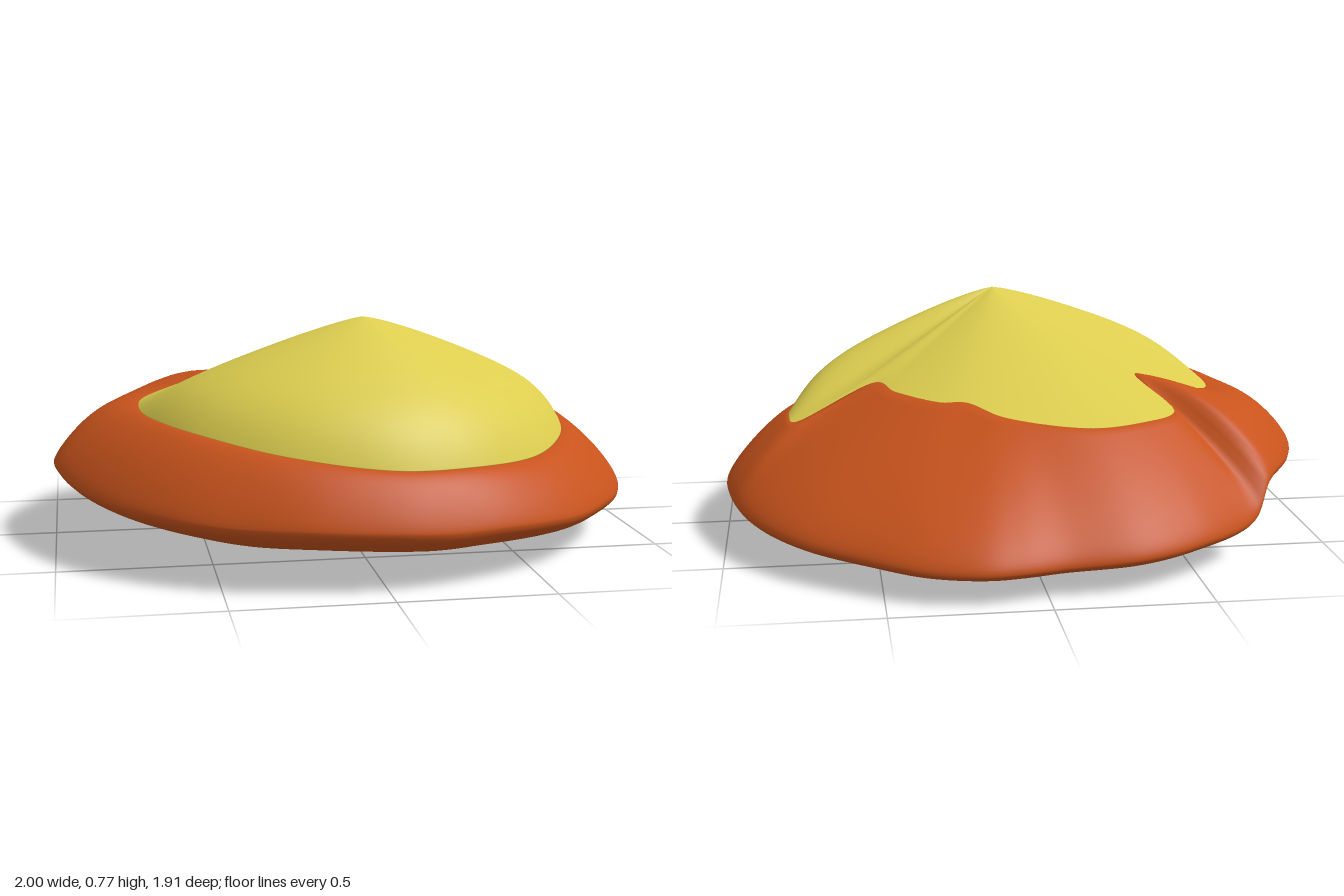
import * as THREE from 'three';

const APEX = new THREE.Vector3(0.03, 0.77, 0.28);
const SEGMENTS = 360;
const { clamp, lerp, smoothstep } = THREE.MathUtils;
const V = (x, y, z) => new THREE.Vector3(x, y, z);

// Rim of the upper shell, anticlockwise seen from above, starting at the front
const CAP_RIM = [
  [0.03, 0.36, 0.83], [0.3, 0.35, 0.77], [0.54, 0.34, 0.6], [0.7, 0.36, 0.36], [0.77, 0.38, 0.1],
  [0.78, 0.39, -0.05], [0.76, 0.39, -0.14], [0.48, 0.506, -0.09], [0.42, 0.5, -0.21], [0.28, 0.495, -0.36],
  [0.2, 0.499, -0.39], [0.08, 0.47, -0.5], [-0.18, 0.445, -0.57], [-0.37, 0.443, -0.51], [-0.5, 0.45, -0.4],
  [-0.41, 0.532, -0.18], [-0.6, 0.475, -0.16], [-0.68, 0.456, -0.1], [-0.71, 0.45, 0.08],
  [-0.68, 0.45, 0.3], [-0.55, 0.44, 0.55], [-0.3, 0.4, 0.75],
];

// Widest outline of the lower shell
const BASE_RIM = [
  [0.02, 0.19, 0.95], [0.2, 0.18, 0.93], [0.37, 0.18, 0.88], [0.54, 0.17, 0.79], [0.68, 0.16, 0.68],
  [0.81, 0.16, 0.53], [0.91, 0.15, 0.36], [0.98, 0.15, 0.16], [1, 0.16, -0.05], [0.98, 0.15, -0.2],
  [0.935, 0.14, -0.36], [0.86, 0.13, -0.51], [0.74, 0.12, -0.66], [0.56, 0.11, -0.8], [0.38, 0.1, -0.91],
  [0.2, 0.1, -0.96], [0.08, 0.1, -0.95], [-0.05, 0.1, -0.92], [-0.3, 0.11, -0.9], [-0.5, 0.12, -0.81],
  [-0.73, 0.14, -0.62], [-0.79, 0.24, -0.55], [-0.93, 0.25, -0.3], [-1, 0.25, -0.05], [-0.99, 0.25, 0.1],
  [-0.95, 0.24, 0.27], [-0.89, 0.23, 0.42], [-0.79, 0.22, 0.58], [-0.64, 0.21, 0.73], [-0.48, 0.2, 0.83],
  [-0.24, 0.2, 0.92],
];

// Samples a rim at evenly spaced angles around the apex
function sampleRim(keys) {
  const points = new THREE.CatmullRomCurve3(keys.map((k) => V(...k)), true).getPoints(1500);
  const angles = [];
  points.forEach((p, i) => {
    let a = Math.atan2(p.x - APEX.x, p.z - APEX.z);
    while (i && a < angles[i - 1] - Math.PI) a += 2 * Math.PI;
    angles.push(a);
  });
  return Array.from({ length: SEGMENTS }, (_, i) => {
    let a = (i / SEGMENTS) * 2 * Math.PI;
    if (a < angles[0]) a += 2 * Math.PI;
    let k = angles.findIndex((b) => b >= a);
    if (k < 0) k = points.length - 1;
    if (k === 0) return points[0].clone();
    const t = (a - angles[k - 1]) / Math.max(angles[k] - angles[k - 1], 1e-6);
    return points[k - 1].clone().lerp(points[k], clamp(t, 0, 1));
  });
}

// Evens out the slope from apex to rim so notches do not crease the cone
function smoothSlope(rim) {
  const radius = rim.map((p) => Math.hypot(p.x - APEX.x, p.z - APEX.z));
  const slope = rim.map((p, i) => (APEX.y - p.y) / radius[i]);
  const reach = 6;
  return rim.map((p, i) => {
    let sum = 0;
    for (let d = -reach; d <= reach; d++) sum += slope[(i + d + SEGMENTS) % SEGMENTS];
    return V(p.x, APEX.y - radius[i] * sum / (2 * reach + 1), p.z);
  });
}

// Joins radial sections, one per angle, into a smooth closed skin
function loft(sections) {
  const rows = sections[0].length;
  const index = [];
  sections.forEach((_, i) => {
    const a = i * rows;
    const b = ((i + 1) % sections.length) * rows;
    for (let j = 0; j < rows - 1; j++) {
      index.push(a + j, a + j + 1, b + j + 1);
      if (j > 0) index.push(a + j, b + j + 1, b + j);
    }
  });
  const geometry = new THREE.BufferGeometry();
  geometry.setFromPoints(sections.flat());
  geometry.setIndex(index);
  geometry.computeVertexNormals();
  return geometry;
}

// Cone-like section: bulging at the front, straight at the back
function capSection(rim) {
  const bulge = smoothstep(rim.z, -0.15, rim.x > 0 ? 0.15 : 0.4);
  const section = [];
  for (let j = 0; j <= 28; j++) {
    const t = Math.sin((j / 28) * Math.PI / 2);
    const p = APEX.clone().lerp(rim, t);
    const drop = (1 - 0.25 * bulge) * t ** (1 + 0.25 * bulge) + 0.25 * bulge * t ** 10;
    p.y = APEX.y - (APEX.y - rim.y) * drop;
    section.push(p);
  }
  // Thin lip tucked under the edge
  section.push(rim.clone().lerp(V(APEX.x, rim.y, APEX.z), 0.02).setY(rim.y - 0.008));
  return section;
}

// Shoulder fullness: flat at the back, full at the front, a raised lip beside the fold
function shoulderPower({ x, z }) {
  if (x > 0) return lerp(1, 1.5, smoothstep(z, -0.4, 0.6));
  const lip = smoothstep(z, -0.61, -0.53) * (1 - smoothstep(z, -0.3, 0.2));
  return lerp(1, 1.5, smoothstep(z, -0.7, 0)) + 1.1 * lip;
}

// Hidden top under the cap, sloping shoulder, rounded rim and bowl-shaped underside
function baseSection(inner, outer) {
  const section = [V(APEX.x, 0.36, APEX.z)];
  section.push(section[0].clone().lerp(inner, 0.5), section[0].clone().lerp(inner, 0.95));
  const power = shoulderPower(outer);
  for (let j = 0; j <= 20; j++) {
    const f = Math.sin((j / 20) * Math.PI / 2);
    const p = inner.clone().lerp(outer, f);
    const drop = 0.72 * f ** power + 0.28 * (1 - Math.sqrt(Math.max(0, 1 - f * f)));
    p.y = lerp(inner.y, outer.y, drop);
    section.push(p);
  }
  const bottom = V(0.05, 0, 0);
  const k = clamp((outer.y - 0.15) * 5, 0, 0.45);
  for (let j = 1; j <= 24; j++) {
    const t = Math.cos((j / 24) * Math.PI / 2);
    const p = bottom.clone().lerp(outer, t);
    p.y = outer.y * (k * t ** 1.4 + (1 - k) * (1 - Math.sqrt(Math.max(0, 1 - t * t))));
    section.push(p);
  }
  return section;
}

export function createModel() {
  const group = new THREE.Group();
  const capRim = smoothSlope(sampleRim(CAP_RIM));
  const baseRim = sampleRim(BASE_RIM);
  const add = (name, sections, color) => {
    const material = new THREE.MeshStandardMaterial({ color, side: THREE.DoubleSide });
    const mesh = new THREE.Mesh(loft(sections), material);
    mesh.name = name;
    group.add(mesh);
  };
  add('lowerShell', capRim.map((rim, i) => baseSection(rim, baseRim[i])), 0xc8531c);
  add('upperShell', capRim.map(capSection), 0xdccd4f);
  return group;
}
